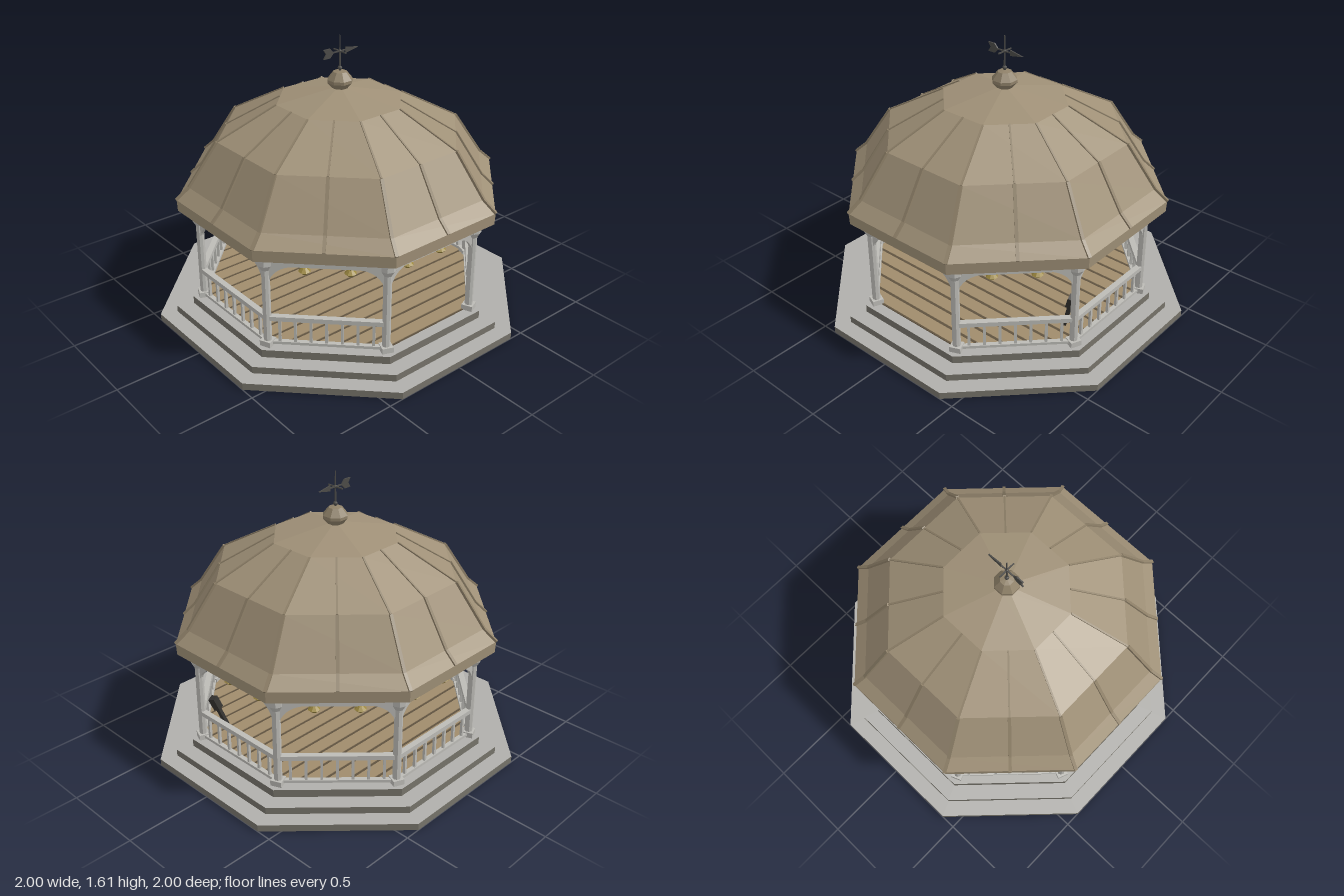
import * as THREE from 'three';

const mat = (name, color) => {
  const m = new THREE.MeshStandardMaterial({ color });
  m.name = name;
  return m;
};
const roofTan = mat('roofTan', 0x9f9077);
const ribTan = mat('ribTan', 0x8f8169);
const trim = mat('trimGrey', 0xbcbbb6);
const tread = mat('treadGrey', 0xb0afab);
const stone = mat('darkStone', 0x76736a);
const plankTan = mat('plankTan', 0xa08c6c);
const gapBrown = mat('gapBrown', 0x5f523f);
const iron = mat('iron', 0x4c4b48);
const brass = mat('brass', 0x9c8840);
const black = mat('blackWood', 0x34322f);

const C8 = Math.cos(Math.PI / 8), T8 = Math.tan(Math.PI / 8);

// Faceted normals
function flat(geo) {
  const g = geo.index ? geo.toNonIndexed() : geo;
  g.computeVertexNormals();
  return g;
}
function add(parent, name, geo, material, x = 0, y = 0, z = 0) {
  const m = new THREE.Mesh(geo, material);
  m.name = name;
  m.position.set(x, y, z);
  parent.add(m);
  return m;
}
const box = (parent, name, w, h, d, material, x, y, z) =>
  add(parent, name, new THREE.BoxGeometry(w, h, d), material, x, y, z);

// Octagonal prism with the flat sides towards the axes, sized by apothem
const octagon = (a, h, aTop = a) =>
  flat(new THREE.CylinderGeometry(aTop / C8, a / C8, h, 8, 1, false, Math.PI / 8));

// Eight-sided turned shape from [apothem, y] pairs, bottom to top
const turned = (profile) => flat(new THREE.LatheGeometry(
  profile.map(([r, y]) => new THREE.Vector2(r / C8, y)), 8, Math.PI / 8));

// Box running between two points
function bar(parent, name, a, b, w, t, material) {
  const p = new THREE.Vector3(...a), q = new THREE.Vector3(...b);
  const d = q.clone().sub(p);
  const m = add(parent, name, new THREE.BoxGeometry(w, t, d.length()), material);
  m.position.copy(p).add(q).multiplyScalar(0.5);
  m.quaternion.setFromUnitVectors(new THREE.Vector3(0, 0, 1), d.normalize());
  return m;
}

function flatShape(points, depth) {
  const s = new THREE.Shape(points.map(([x, y]) => new THREE.Vector2(x, y)));
  return new THREE.ExtrudeGeometry(s, { depth, bevelEnabled: false });
}

function turnedGroup(parent, name, angle) {
  const g = new THREE.Group();
  g.name = name;
  g.rotation.y = angle;
  parent.add(g);
  return g;
}

function buildBase(root) {
  [[1, 0, 0.04], [0.91, 0.04, 0.08], [0.82, 0.08, 0.125]].forEach(([a, y0, y1]) =>
    add(root, 'step', octagon(a, y1 - y0), [stone, tread, stone], 0, (y0 + y1) / 2, 0));
  // Floor boards trimmed to the octagon
  const a = 0.755, n = 16, pitch = 2 * a / n;
  add(root, 'subfloor', octagon(a, 0.004), gapBrown, 0, 0.127, 0);
  for (let i = 0; i < n; i++) {
    const z0 = -a + i * pitch + 0.009, z1 = z0 + pitch - 0.018;
    const half = (z) => Math.min(a, a * Math.SQRT2 - Math.abs(z));
    const geo = flatShape([[-half(z0), -z0], [-half(z1), -z1], [half(z1), -z1], [half(z0), -z0]], 0.005);
    geo.rotateX(-Math.PI / 2);
    add(root, 'floorBoard', geo, plankTan, 0, 0.128, 0);
  }
}

function bracketGeometry() {
  const s = new THREE.Shape();
  s.moveTo(0, 0);
  s.lineTo(0, -0.13);
  s.quadraticCurveTo(0.02, -0.012, 0.16, -0.006);
  s.lineTo(0.16, 0);
  s.closePath();
  return new THREE.ExtrudeGeometry(s, { depth: 0.02, bevelEnabled: false, curveSegments: 8 });
}

function buildSides(root) {
  const a = 0.76, len = 2 * a * T8;
  const bracket = bracketGeometry();
  const lampGeo = turned([[0, 0.528], [0.014, 0.535], [0.031, 0.552], [0.012, 0.572], [0, 0.575]]);
  for (let k = 0; k < 8; k++) {
    const side = turnedGroup(root, 'side', k * Math.PI / 4);
    box(side, 'beam', len, 0.07, 0.05, trim, 0, 0.655, a);
    // Curved brackets, mirrored by a half turn
    const l = add(side, 'bracket', bracket, trim, -len / 2 + 0.01, 0.622, a - 0.01);
    const r = l.clone();
    r.rotation.y = Math.PI;
    r.position.set(len / 2 - 0.01, 0.622, a + 0.01);
    side.add(r);
    // Hanging lamps
    for (const x of [-0.12, 0.12]) {
      add(side, 'lampStem', new THREE.CylinderGeometry(0.009, 0.009, 0.12, 8), iron, x, 0.632, 0.7);
      add(side, 'lamp', lampGeo, brass, x, 0, 0.7);
    }
    // Railing, left open at the front entrance
    if (k !== 0) {
      box(side, 'handrail', len, 0.026, 0.034, trim, 0, 0.294, a);
      box(side, 'bottomRail', len, 0.016, 0.026, trim, 0, 0.143, a);
      for (let i = -3; i <= 3; i++)
        box(side, 'baluster', 0.015, 0.135, 0.015, trim, i * 0.083, 0.217, a);
    }
    // Corner post with plinth and flared capital
    const corner = turnedGroup(root, 'corner', (k + 0.5) * Math.PI / 4);
    const R = a / C8;
    box(corner, 'plinth', 0.064, 0.032, 0.064, trim, 0, 0.141, R);
    add(corner, 'post', octagon(0.021, 0.46), trim, 0, 0.38, R);
    add(corner, 'capital', turned([[0, 0.588], [0.023, 0.588], [0.04, 0.62], [0.04, 0.69]]), trim, 0, 0, R);
  }
}

function buildRoof(root) {
  const slope = [[0.868, 0.755], [0.8, 0.82], [0.645, 1.07], [0.335, 1.248], [0.045, 1.312]];
  add(root, 'roof', turned([[0.865, 0.69], ...slope, [0, 1.314]]), roofTan);
  const ceiling = add(root, 'ceiling', new THREE.CircleGeometry(0.865 / C8, 8, Math.PI / 8), trim, 0, 0.69, 0);
  ceiling.rotation.x = Math.PI / 2;
  // Standing ribs on each corner and each face centre
  for (let k = 0; k < 16; k++) {
    const g = turnedGroup(root, 'roofRib', k * Math.PI / 8);
    const f = k % 2 ? 1 / C8 : 1;
    for (let i = 0; i < 3; i++) {
      const [r0, y0] = slope[i], [r1, y1] = slope[i + 1];
      const w = i === 2 ? 0.01 : 0.018;
      bar(g, 'rib', [0, y0, r0 * f], [0, y1, r1 * f], w, i === 2 ? 0.012 : 0.02, ribTan);
    }
  }
}

function buildVane(root) {
  add(root, 'finial', turned([[0.035, 1.305], [0.067, 1.345], [0.067, 1.362], [0.036, 1.405], [0, 1.412]]), ribTan);
  const vane = turnedGroup(root, 'weatherVane', 0);
  add(vane, 'rod', new THREE.CylinderGeometry(0.003, 0.006, 0.21, 8), iron, 0, 1.505, 0);
  add(vane, 'collar', new THREE.SphereGeometry(0.013, 8, 6), iron, 0, 1.425, 0);
  add(vane, 'hub', new THREE.SphereGeometry(0.01, 8, 6), iron, 0, 1.52, 0);
  box(vane, 'arrowShaft', 0.17, 0.007, 0.007, iron, -0.01, 1.52, 0);
  box(vane, 'crossArm', 0.007, 0.007, 0.104, iron, 0, 1.52, 0);
  add(vane, 'arrowHead', flatShape([[0.04, -0.017], [0.127, 0], [0.04, 0.017]], 0.008), iron, 0, 1.52, -0.004);
  add(vane, 'arrowTail', flatShape([[-0.115, -0.027], [-0.07, -0.027], [-0.045, 0], [-0.07, 0.027],
    [-0.115, 0.027], [-0.098, 0]], 0.008), iron, 0, 1.52, -0.004);
}

export function createModel() {
  const root = new THREE.Group();
  root.name = 'bandstand';
  buildBase(root);
  buildSides(root);
  buildRoof(root);
  buildVane(root);
  // Dark stand leaning on the railing corner
  const stand = turnedGroup(root, 'leaningStand', 0);
  bar(stand, 'standLeg', [0.63, 0.135, 0.225], [0.69, 0.32, 0.26], 0.022, 0.022, black);
  bar(stand, 'standHead', [0.685, 0.31, 0.258], [0.711, 0.383, 0.272], 0.04, 0.04, black);
  return root;
}
